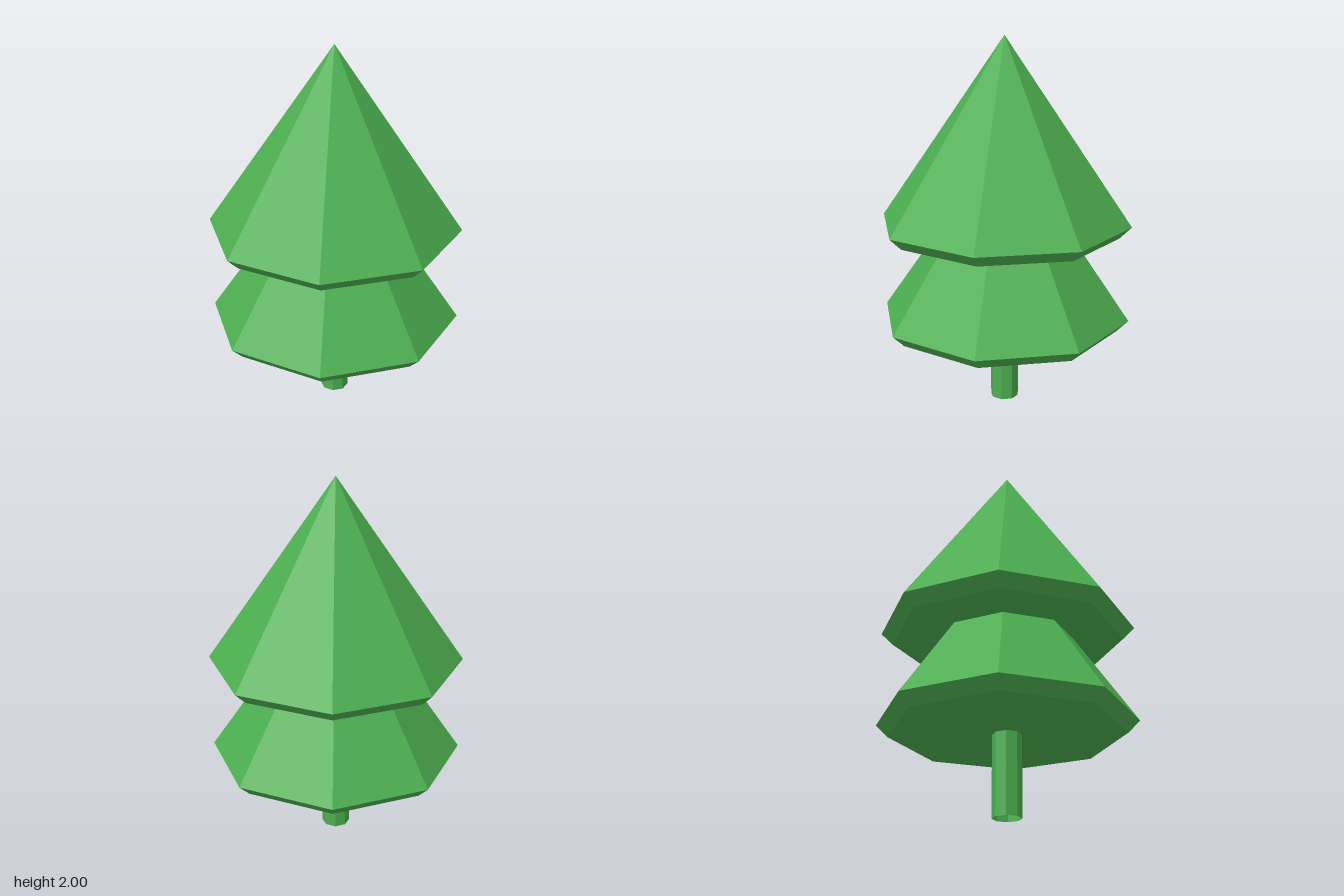
import * as THREE from 'three';

const SIDES = 8;

export function createModel() {
  const tree = new THREE.Group();
  tree.name = 'tree';
  const green = new THREE.MeshStandardMaterial({ color: 0x4caf50, flatShading: true });
  const greenOpen = green.clone();
  greenOpen.side = THREE.DoubleSide;

  function add(name, geometry, material, y) {
    const mesh = new THREE.Mesh(geometry, material);
    mesh.name = name;
    mesh.position.y = y;
    tree.add(mesh);
  }

  // Trunk: octagonal tube, open at the foot
  const trunkHeight = 0.44;
  add('trunk', new THREE.CylinderGeometry(0.077, 0.077, trunkHeight, SIDES, 1, true), greenOpen, trunkHeight / 2);

  // Foliage tiers: flat underside, bevelled rim, then a pointed cone
  const profile = [[0, 0], [0.62, 0], [0.683, 0.063], [0, 1.043]].map(([r, y]) => new THREE.Vector2(r, y));
  const tier = new THREE.LatheGeometry(profile, SIDES);
  add('lowerFoliage', tier, green, 0.433);
  add('upperFoliage', tier, green, 0.957);

  return tree;
}
